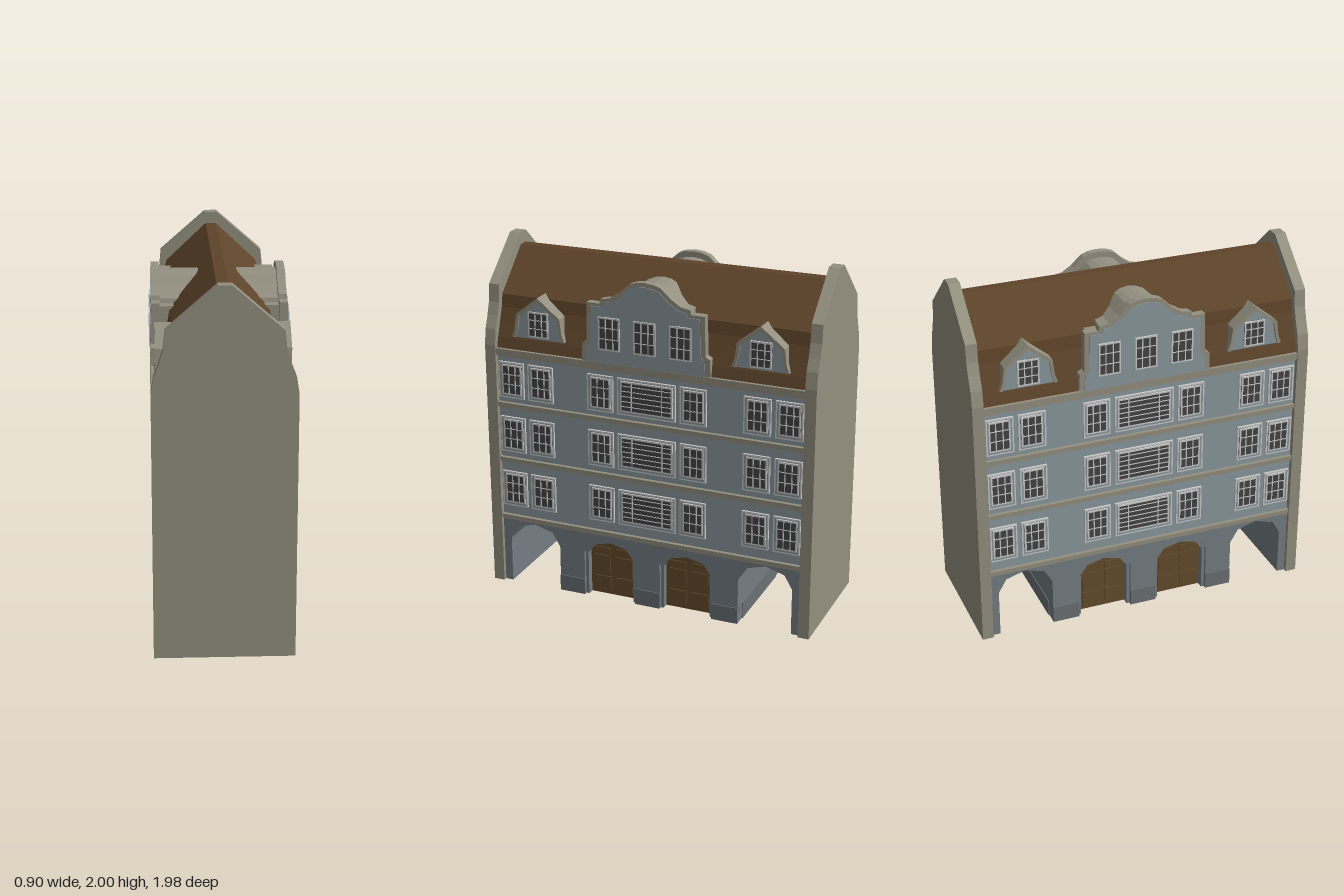
import * as THREE from 'three';

const mat = (color) => new THREE.MeshStandardMaterial({ color, flatShading: true });
const M = {
  wall: mat(0x8b999e), ground: mat(0x757e84), plinth: mat(0x6b7074), trim: mat(0x949080),
  roof: mat(0x5e442a), door: mat(0x654b2c), glass: mat(0x444444), frame: mat(0xcccccc),
};

function add(parent, name, geo, material) {
  const m = new THREE.Mesh(geo, material);
  m.name = name;
  parent.add(m);
  return m;
}

// Box given by its limits
function box(parent, name, material, x0, x1, y0, y1, z0, z1) {
  const g = new THREE.BoxGeometry(x1 - x0, y1 - y0, z1 - z0);
  g.translate((x0 + x1) / 2, (y0 + y1) / 2, (z0 + z1) / 2);
  return add(parent, name, g, material);
}

const toShape = (pts) => new THREE.Shape(pts.map(([a, b]) => new THREE.Vector2(a, b)));

// Outline in (z, y), extruded along x from x0 to x1
function slabX(parent, name, material, pts, x0, x1, hole) {
  const flip = (list) => list.map(([z, y]) => [-z, y]);
  const shape = toShape(flip(pts));
  if (hole) shape.holes.push(toShape(flip(hole)));
  const g = new THREE.ExtrudeGeometry(shape, { depth: x1 - x0, bevelEnabled: false });
  g.rotateY(Math.PI / 2).translate(x0, 0, 0);
  return add(parent, name, g, material);
}

// Outline in (x, y), extruded along z from z0 to z1
function slabZ(parent, name, material, pts, z0, z1) {
  const g = new THREE.ExtrudeGeometry(toShape(pts), { depth: z1 - z0, bevelEnabled: false });
  g.translate(0, 0, z0);
  return add(parent, name, g, material);
}

// Completes a right-hand half outline by mirroring
const mirror = (half) => [...half, ...half.filter(([a]) => a > 0).reverse().map(([a, b]) => [-a, b])];

// Angular arch standing on y0, left to right
function arch(c, hw, spring, top, y0 = 0) {
  const pts = [[c - hw, y0]];
  for (let i = 0; i <= 4; i++) {
    const a = Math.PI * (1 - i / 4);
    pts.push([c + hw * Math.cos(a), spring + (top - spring) * Math.sin(a)]);
  }
  pts.push([c + hw, y0]);
  return pts;
}

const END = 0.9, FACE = 0.35, PASSAGE = 0.698, DOOR = 0.232;

// Ground-floor outline notched by the given arches
function arcade(centres) {
  const pts = [[-END, 0]];
  centres.forEach((c) => pts.push(...arch(c, 0.156, 0.27, 0.38)));
  pts.push([END, 0], [END, 0.41], [-END, 0.41]);
  return pts;
}

// Rectangular frame lying on a facade
function frame(parent, name, x0, x1, y, z, w, h, t) {
  const rect = (a, b) => [[z - a, y - b], [z + a, y - b], [z + a, y + b], [z - a, y + b]];
  slabX(parent, name, M.frame, rect(w / 2, h / 2), x0, x1, rect(w / 2 - t, h / 2 - t));
}

// Glazed window with bars; bars are fractions of the half width
function windowUnit(parent, x, y, z, w, h, bars, rows, surround) {
  const g = new THREE.Group();
  g.name = 'window';
  parent.add(g);
  if (surround) {
    frame(g, 'windowSurround', x - 0.01, x + 0.012, y, z, w, h, 0.008);
    w -= 0.034;
    h -= 0.034;
  }
  frame(g, 'windowFrame', x - 0.01, x + 0.009, y, z, w, h, 0.009);
  box(g, 'glass', M.glass, x - 0.01, x + 0.002, y - h / 2, y + h / 2, z - w / 2, z + w / 2);
  for (const b of bars) {
    const c = z + b * w / 2;
    box(g, 'uprightBar', M.frame, x, x + 0.006, y - h / 2, y + h / 2, c - 0.003, c + 0.003);
  }
  for (let i = 1; i < rows; i++) {
    const c = y - h / 2 + h * i / rows;
    box(g, 'crossBar', M.frame, x, x + 0.006, c - 0.002, c + 0.002, z - w / 2, z + w / 2);
  }
}

function door(parent, c) {
  const g = new THREE.Group();
  g.name = 'door';
  parent.add(g);
  slabX(g, 'doorLeaf', M.door, arch(c, 0.15, 0.265, 0.35), 0.28, 0.295);
  slabX(g, 'doorSurround', M.ground, [...arch(c, 0.158, 0.27, 0.382), ...arch(c, 0.138, 0.26, 0.34).reverse()], 0.28, 0.335);
  // raised panels on both leaves
  for (const s of [-1, 1]) {
    for (const [y0, y1] of [[0.03, 0.11], [0.13, 0.24]]) {
      const z = c + s * 0.067;
      box(g, 'doorPanel', M.door, 0.29, 0.301, y0, y1, z - 0.05, z + 0.05);
    }
    box(g, 'doorTopPanel', M.door, 0.29, 0.301, 0.255, 0.29, c + s * 0.067 - 0.05, c + s * 0.067 + 0.05);
  }
}

function dormer(parent, c) {
  const g = new THREE.Group();
  g.name = 'dormer';
  g.position.z = c;
  parent.add(g);
  const outer = mirror([[0.16, 1.5], [0.143, 1.545], [0.132, 1.63], [0, 1.735]]);
  const inner = mirror([[0.142, 1.495], [0.126, 1.545], [0.114, 1.622], [0, 1.712]]);
  slabX(g, 'dormerFront', M.wall, inner, 0.2, 0.336);
  // thin roof shell over the front
  slabX(g, 'dormerRoof', M.trim, [...outer, ...inner.slice().reverse()], 0.2, 0.348);
  windowUnit(g, 0.337, 1.58, 0, 0.12, 0.145, [-0.33, 0.33], 3, false);
}

function gable(parent) {
  const g = new THREE.Group();
  g.name = 'centralGable';
  parent.add(g);
  const half = [[0.375, 1.42], [0.37, 1.52], [0.345, 1.535], [0.34, 1.755], [0.265, 1.755], [0.258, 1.78],
    [0.205, 1.79], [0.15, 1.825], [0.118, 1.855], [0.09, 1.88], [0.05, 1.893], [0, 1.898]];
  const scaled = (sz, sy) => mirror(half.map(([z, y]) => [z * sz, 1.42 + (y - 1.42) * sy]));
  slabX(g, 'gableCoping', M.trim, mirror(half), 0.318, 0.362);
  slabX(g, 'gableFace', M.wall, scaled(0.92, 0.95), 0.33, 0.366);
  slabX(g, 'gableVault', M.trim, scaled(0.9, 0.93), 0.06, 0.32);
  for (const z of [-0.206, 0, 0.206]) windowUnit(g, 0.367, 1.593, z, 0.125, 0.185, [-0.33, 0.33], 3, false);
}

function facade() {
  const f = new THREE.Group();
  f.name = 'facade';
  slabX(f, 'arcadeWall', M.ground, arcade([-PASSAGE, -DOOR, DOOR, PASSAGE]), 0.29, FACE);
  for (const s of [-1, 1]) {
    door(f, s * DOOR);
    dormer(f, s * 0.645);
    box(f, 'plinth', M.plinth, 0.3, FACE + 0.006, 0, 0.095, s * 0.465 - 0.077, s * 0.465 + 0.077);
  }
  box(f, 'plinth', M.plinth, 0.3, FACE + 0.006, 0, 0.095, -0.076, 0.076);
  gable(f);
  // string courses with a thinner fillet below
  for (const [y0, y1] of [[0.402, 0.422], [0.757, 0.777], [1.088, 1.108], [1.39, 1.424]]) {
    box(f, 'cornice', M.trim, 0.33, 0.367, y0, y1, -END, END);
    box(f, 'corniceFillet', M.trim, 0.33, 0.358, y0 - 0.012, y0, -END, END);
  }
  // three rows of windows
  for (const y of [0.585, 0.917, 1.242]) {
    windowUnit(f, 0.345, y, 0, 0.34, 0.21, [-0.58, 0.58], 6, true);
    for (const z of [0.273, 0.636, 0.815]) {
      for (const s of [-1, 1]) windowUnit(f, 0.345, y, s * z, 0.153, 0.21, [-0.33, 0.33], 3, true);
    }
  }
  return f;
}

export function createModel() {
  const house = new THREE.Group();
  house.name = 'townhouse';

  // Core with two open passages
  slabX(house, 'groundFloor', M.ground, arcade([-PASSAGE, PASSAGE]), -0.29, 0.29);
  box(house, 'passagePlinth', M.plinth, -0.28, 0.28, 0, 0.095, -0.547, 0.547);
  box(house, 'upperFloors', M.wall, -0.345, 0.345, 0.405, 1.42, -END, END);

  // Mansard roof
  const roof = mirror([[0.35, 1.42], [0.333, 1.48], [0.305, 1.56], [0.278, 1.64], [0.266, 1.71], [0.03, 1.933]]);
  slabZ(house, 'roof', M.roof, roof, -END, END);

  // End walls rising above the roof
  const endWall = mirror([[0.372, 0], [0.372, 1.44], [0.358, 1.53], [0.33, 1.6], [0.308, 1.67], [0.298, 1.77], [0.035, 2]]);
  for (const s of [-1, 1]) slabZ(house, 'endWall', M.trim, endWall, s > 0 ? END : -0.963, s > 0 ? 0.963 : -END);

  // The same facade on both long sides
  const right = facade();
  const left = facade();
  left.rotation.y = Math.PI;
  house.add(right, left);

  house.rotation.y = 0.08;
  const model = new THREE.Group();
  model.name = 'model';
  model.add(house);
  return model;
}
